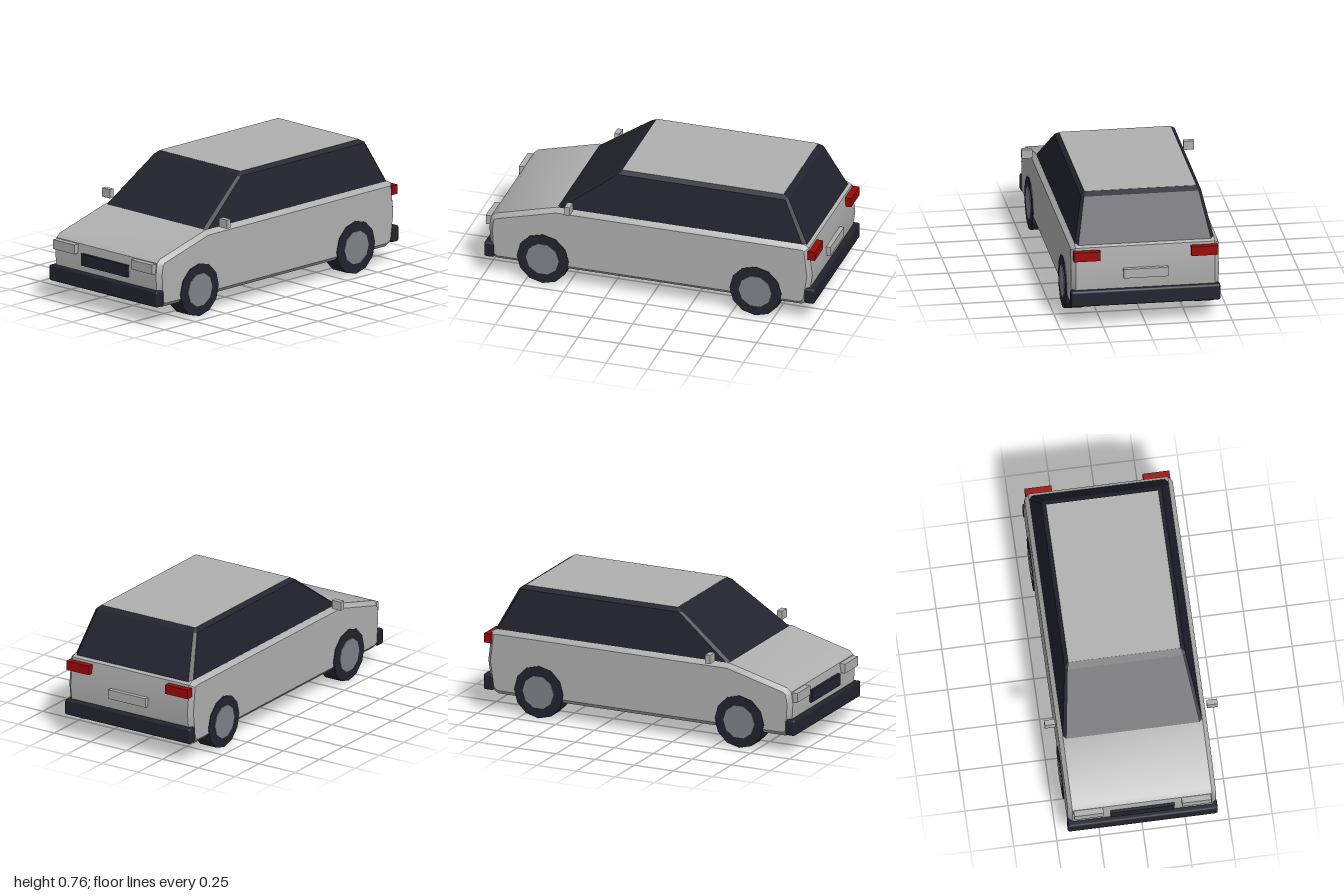
import * as THREE from 'three';
import { toCreasedNormals } from 'three/addons/utils/BufferGeometryUtils.js';
import { RoundedBoxGeometry } from 'three/addons/geometries/RoundedBoxGeometry.js';

const material = (name, color) => {
  const m = new THREE.MeshStandardMaterial({ color });
  m.name = name;
  return m;
};

export function createModel() {
  const paint = material('silver paint', 0xb0b0b0);
  const dark = material('dark glass and rubber', 0x23232f);
  const hubGrey = material('hub grey', 0x80828a);
  const red = material('tail light red', 0x990808);

  const car = new THREE.Group();
  car.name = 'car';
  const add = (name, geometry, mat, x = 0, y = 0, z = 0) => {
    const mesh = new THREE.Mesh(geometry, mat);
    mesh.name = name;
    mesh.position.set(x, y, z);
    car.add(mesh);
    return mesh;
  };
  // Box given by its limits on each axis
  const addBox = (name, mat, [x0, x1], [y0, y1], [z0, z1]) =>
    add(name, new THREE.BoxGeometry(x1 - x0, y1 - y0, z1 - z0), mat,
      (x0 + x1) / 2, (y0 + y1) / 2, (z0 + z1) / 2);

  // Lower body: side profile (z, y) extruded across the width with a bevel
  const profile = [
    [-0.91, 0.105], [0.93, 0.105], [0.965, 0.13], [0.975, 0.3], [0.965, 0.37],
    [0.94, 0.393], [0.57, 0.492], [-0.925, 0.492], [-0.955, 0.475],
    [-0.975, 0.3], [-0.95, 0.13],
  ];
  const bevel = 0.025;
  const width = 0.86;
  const body = new THREE.ExtrudeGeometry(
    new THREE.Shape(profile.map(([z, y]) => new THREE.Vector2(z, y))),
    {
      depth: width - 2 * bevel, bevelEnabled: true, bevelSegments: 1,
      bevelSize: bevel, bevelThickness: bevel, bevelOffset: -bevel,
    });
  body.rotateY(-Math.PI / 2);
  body.translate(width / 2 - bevel, 0, 0);
  add('body', toCreasedNormals(body, 0.65), paint);

  // Cabin glass: chamfered rectangles joined from the waist to the roof edge
  const rings = [ // y, half width, front z, rear z, corner chamfer
    [0.485, 0.406, 0.575, -0.937, 0.02],
    [0.735, 0.35, 0.235, -0.81, 0.016],
    [0.755, 0.326, 0.198, -0.775, 0.003],
  ].map(([y, w, f, r, c]) => [
    [w - c, y, f], [w, y, f - c], [w, y, r + c], [w - c, y, r],
    [c - w, y, r], [-w, y, r + c], [-w, y, f - c], [c - w, y, f],
  ]);
  const corners = [];
  for (let i = 0; i < rings.length - 1; i++) {
    for (let j = 0; j < 8; j++) {
      const k = (j + 1) % 8;
      const [a, b, c, d] = [rings[i][j], rings[i][k], rings[i + 1][k], rings[i + 1][j]];
      corners.push(...a, ...b, ...c, ...a, ...c, ...d);
    }
  }
  const glass = new THREE.BufferGeometry();
  glass.setAttribute('position', new THREE.Float32BufferAttribute(corners, 3));
  glass.computeVertexNormals();
  add('cabinGlass', glass, dark);
  addBox('roof', paint, [-0.326, 0.326], [0.75, 0.756], [-0.775, 0.198]);

  // Bumpers
  const bumper = new RoundedBoxGeometry(0.87, 0.095, 0.062, 1, 0.012);
  add('frontBumper', bumper, dark, 0, 0.163, 0.969);
  add('rearBumper', bumper, dark, 0, 0.173, -0.964);

  // Nose and tail details
  addBox('grille', dark, [-0.185, 0.185], [0.25, 0.32], [0.95, 0.99]);
  addBox('rearPlate', paint, [-0.13, 0.13], [0.29, 0.345], [-0.996, -0.95]);

  for (const side of [1, -1]) {
    const name = side > 0 ? 'left' : 'right';
    const span = (a, b) => (side > 0 ? [a, b] : [-b, -a]);
    addBox(name + 'Headlight', paint, span(0.228, 0.398), [0.31, 0.366], [0.94, 1]);
    addBox(name + 'TailLight', red, span(0.265, 0.42), [0.405, 0.46], [-0.995, -0.95]);
    addBox(name + 'Mirror', paint, span(0.44, 0.502), [0.503, 0.555], [0.46, 0.492]);

    // Wheels with faceted tyres and slightly raised hubs
    for (const [end, z] of [['Front', 0.645], ['Rear', -0.64]]) {
      const disc = (part, radius, depth, sides, mat, x) => {
        const g = new THREE.CylinderGeometry(radius, radius, depth, sides);
        g.rotateZ(Math.PI / 2);
        add(name + end + part, toCreasedNormals(g, 0.3), mat, side * x, 0.157, z);
      };
      disc('Tyre', 0.157, 0.111, 12, dark, 0.379);
      disc('Hub', 0.1, 0.03, 10, hubGrey, 0.4235);
    }
  }
  return car;
}
